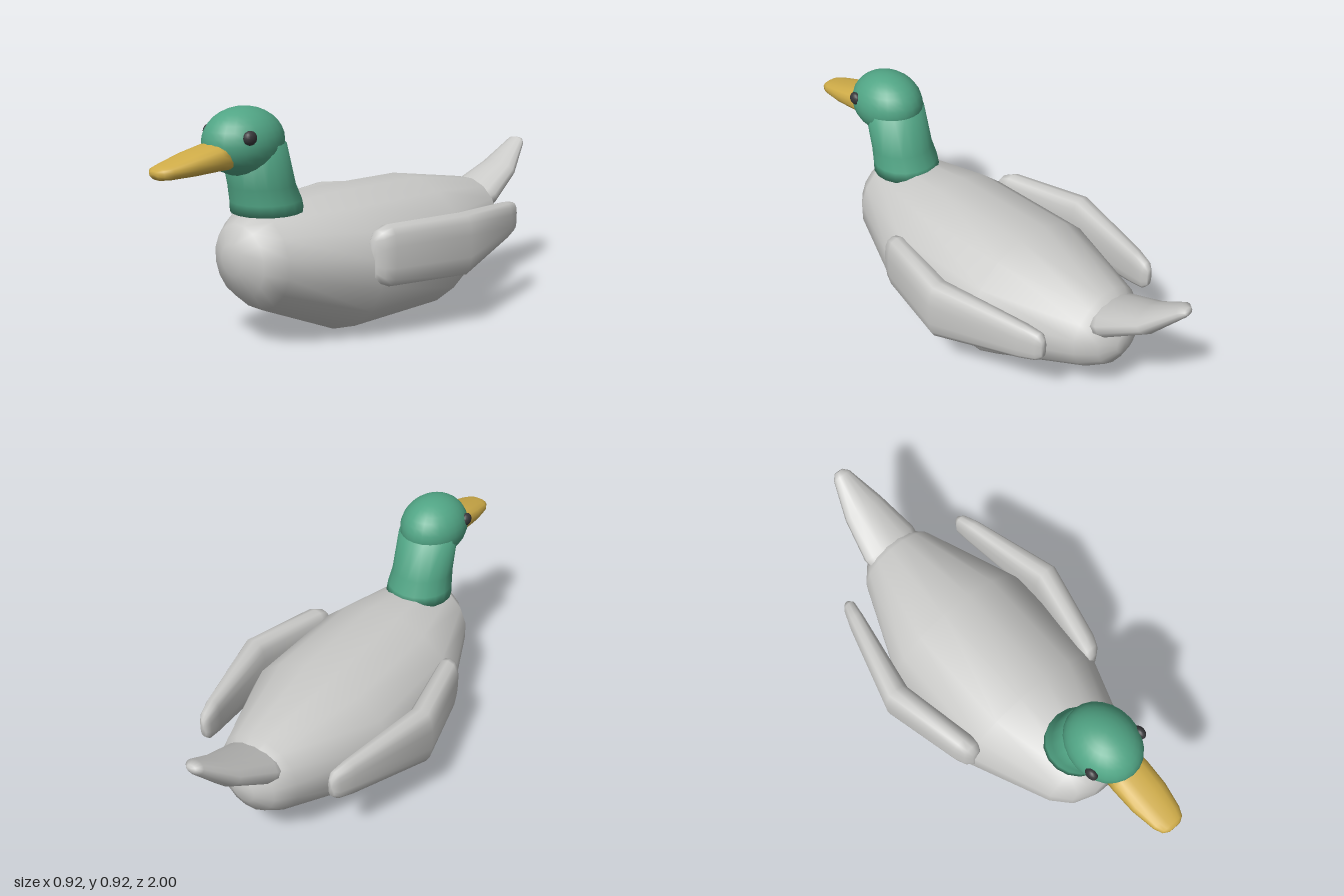
import * as THREE from 'three';

const mat = (name, color, side = THREE.FrontSide) => {
  const m = new THREE.MeshStandardMaterial({ color, side });
  m.name = name;
  return m;
};

// Smooth skin over elliptical rings [x, y, z, halfWidth, halfHeight, tilt]; power > 2 squares the section
function loft(rings, sides, power = 2) {
  const pos = [], idx = [];
  const bend = (v) => Math.sign(v) * Math.abs(v) ** (2 / power);
  rings.forEach(([x, y, z, a, b, tilt = 0]) => {
    for (let j = 0; j < sides; j++) {
      const t = ((j + 0.5) / sides) * Math.PI * 2;
      const u = a * bend(Math.cos(t)), v = b * bend(Math.sin(t));
      pos.push(x + u, y + v * Math.cos(tilt), z + v * Math.sin(tilt));
    }
  });
  const last = rings.length - 1;
  for (let i = 0; i < last; i++) {
    for (let j = 0; j < sides; j++) {
      const k = (j + 1) % sides, p = i * sides, q = p + sides;
      idx.push(p + j, p + k, q + k, p + j, q + k, q + j);
    }
  }
  // close both ends
  const c = pos.length / 3;
  pos.push(...rings[0].slice(0, 3), ...rings[last].slice(0, 3));
  for (let j = 0; j < sides; j++) {
    const k = (j + 1) % sides;
    idx.push(c, k, j, c + 1, last * sides + j, last * sides + k);
  }
  const g = new THREE.BufferGeometry();
  g.setAttribute('position', new THREE.Float32BufferAttribute(pos, 3));
  g.setIndex(idx);
  g.computeVertexNormals();
  return g;
}

export function createModel() {
  const duck = new THREE.Group();
  duck.name = 'duck';
  const grey = mat('plumage grey', 0xc9c9c7);
  const green = mat('head green', 0x51a585);
  const yellow = mat('bill yellow', 0xcfac48);
  const black = mat('eye black', 0x37373a);

  const add = (name, geometry, material) => {
    const m = new THREE.Mesh(geometry, material);
    m.name = name;
    duck.add(m);
    return m;
  };

  // Boat-shaped body, tail end first
  add('body', loft([
    [0, 0.305, -0.735, 0.05, 0.05],
    [0, 0.31, -0.70, 0.12, 0.12],
    [0, 0.315, -0.63, 0.18, 0.168],
    [0, 0.273, -0.24, 0.34, 0.278],
    [0, 0.277, 0.23, 0.34, 0.282],
    [0, 0.34, 0.57, 0.205, 0.195],
    [0, 0.345, 0.64, 0.145, 0.14],
    [0, 0.355, 0.675, 0.06, 0.06],
  ], 16), grey);

  // Upturned, flattened tail
  add('tail', loft([
    [0, 0.607, -0.995, 0.02, 0.012, 0.58],
    [0, 0.60, -0.975, 0.04, 0.027, 0.58],
    [0, 0.49, -0.85, 0.092, 0.05, 0.58],
    [0, 0.405, -0.69, 0.128, 0.066, 0.58],
    [0, 0.37, -0.62, 0.12, 0.06, 0.58],
  ], 14), grey);

  // Wings, bowed outwards at the middle
  for (const s of [1, -1]) {
    add(s > 0 ? 'leftWing' : 'rightWing', loft([
      [s * 0.302, 0.365, -0.595, 0.014, 0.04],
      [s * 0.304, 0.365, -0.575, 0.028, 0.062],
      [s * 0.32, 0.363, -0.51, 0.036, 0.077],
      [s * 0.402, 0.344, -0.14, 0.058, 0.127],
      [s * 0.328, 0.345, 0.19, 0.05, 0.122],
      [s * 0.318, 0.343, 0.232, 0.042, 0.105],
      [s * 0.312, 0.34, 0.254, 0.022, 0.075],
    ], 14, 2.8), grey);
  }

  // Neck leaning forward, flared at the base
  const up = -Math.PI / 2;
  add('neck', loft([
    [0, 0.49, 0.50, 0.03, 0.03, up],
    [0, 0.517, 0.502, 0.14, 0.138, up],
    [0, 0.56, 0.508, 0.136, 0.135, up],
    [0, 0.62, 0.526, 0.128, 0.126, up],
    [0, 0.78, 0.563, 0.125, 0.122, up],
  ], 18), green);

  // Head
  const head = add('head', new THREE.SphereGeometry(1, 24, 16), green);
  head.scale.set(0.135, 0.128, 0.163);
  head.position.set(0, 0.792, 0.607);

  // Bill, flat and broad
  add('bill', loft([
    [0, 0.75, 0.70, 0.08, 0.05],
    [0, 0.75, 0.76, 0.083, 0.05],
    [0, 0.738, 0.86, 0.08, 0.04],
    [0, 0.725, 0.955, 0.063, 0.027],
    [0, 0.722, 0.987, 0.048, 0.022],
    [0, 0.722, 1.0, 0.026, 0.012],
  ], 16, 2.5), yellow);

  // Eyes
  for (const s of [1, -1]) {
    const eye = add(s > 0 ? 'leftEye' : 'rightEye', new THREE.SphereGeometry(0.028, 14, 10), black);
    eye.scale.set(0.7, 0.95, 1);
    eye.position.set(s * 0.118, 0.823, 0.67);
  }
  return duck;
}
